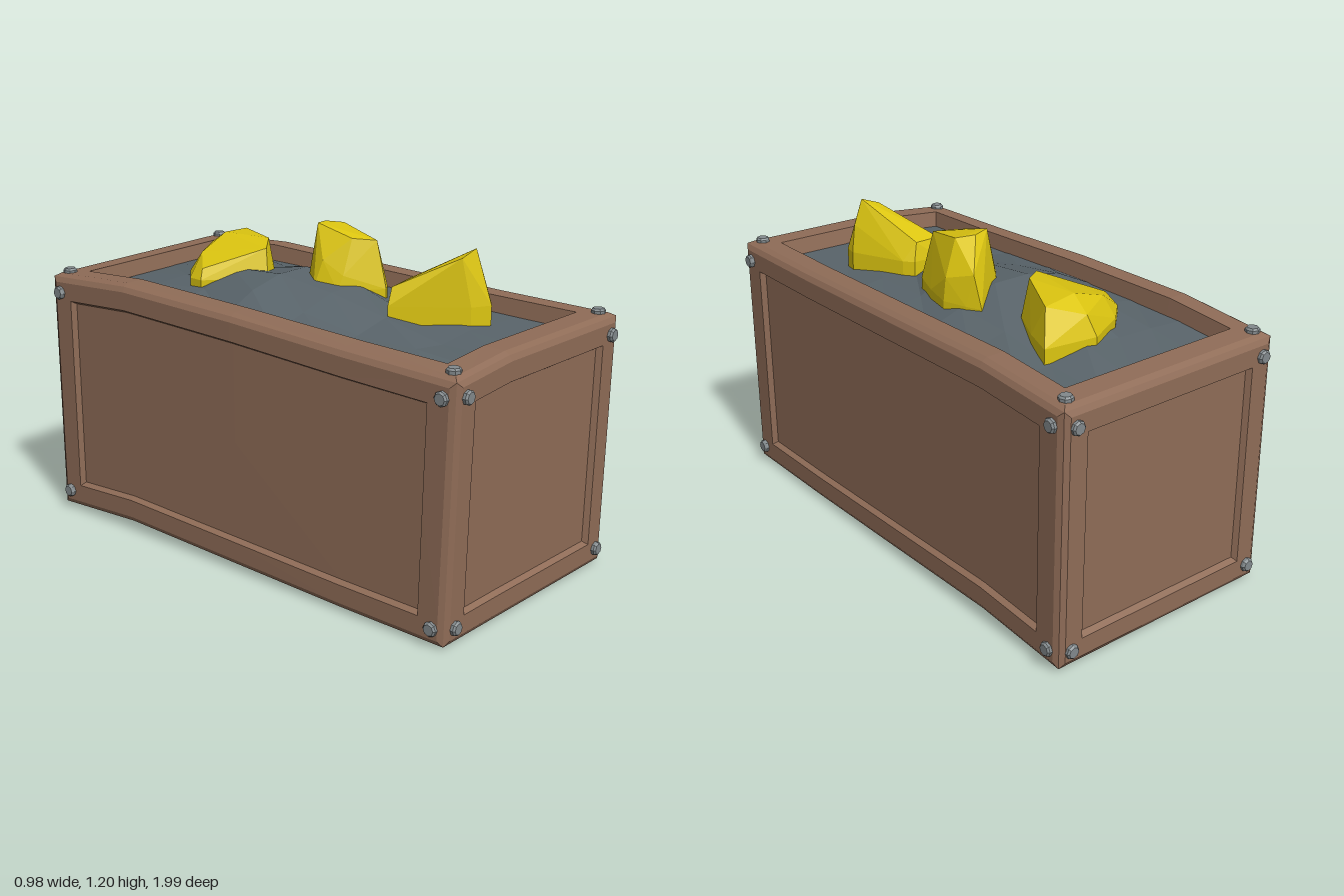
import * as THREE from 'three';
import { ConvexGeometry } from 'three/addons/geometries/ConvexGeometry.js';

const mat = (name, color) => Object.assign(new THREE.MeshStandardMaterial({ color, flatShading: true }), { name });

// crate half sizes on x, y, z and its centre height
const HALF = [0.475, 0.477, 0.963], CY = 0.48;
// inner edge of the frame on each axis and the places where the planks bend
const INNER = [0.373, 0.378, 0.85], BENDS = [[-0.18, 0.18], [0], [-0.55, 0, 0.5]];

// piecewise linear sag of the planks along z
const SAG = [[-0.97, 0.006], [-0.55, 0.03], [0, 0.016], [0.5, 0.004], [0.97, 0]];
function sag(z) {
  for (let i = 1; i < SAG.length; i++) {
    const [z0, y0] = SAG[i - 1], [z1, y1] = SAG[i];
    if (z <= z1 || i === SAG.length - 1) return y0 + (y1 - y0) * THREE.MathUtils.clamp((z - z0) / (z1 - z0), 0, 1);
  }
}

// gives the crate its crooked, hand-made shape
function warp(p) {
  const front = Math.max(p.z, 0), { x, y, z } = p;
  const drop = 0.03 * Math.max(-0.18 - x, 0) / 0.29 * (y / 0.96) * front;
  p.x += Math.max(-x, 0) * 0.035 * (y / 0.96) * front;
  p.y += sag(z) - drop;
  p.z = z * (1 + 0.03 * x) + 0.015 * (y - 0.48) * front;
  return p;
}

// one framed side: a grid whose rings step from chamfer to frame to sunken panel
function sideGeometry(axis, sign, depth) {
  const axes = [(axis + 1) % 3, (axis + 2) % 3];
  const depths = [0.011, 0, 0, depth];
  const lines = axes.map((a) => {
    const rings = [HALF[a] - 0.011, HALF[a] - 0.03, INNER[a], INNER[a] - 0.012];
    return [
      ...rings.map((r, i) => [-r, i]),
      ...BENDS[a].map((b) => [b, 3]),
      ...rings.map((r, i) => [r, i]).reverse(),
    ];
  });
  const [U, V] = lines, pos = [], index = [];
  for (const [u, ru] of U) for (const [v, rv] of V) {
    const c = [0, 0, 0];
    c[axes[0]] = u;
    c[axes[1]] = v;
    c[axis] = sign * (HALF[axis] - depths[Math.min(ru, rv)]);
    const p = warp(new THREE.Vector3(c[0], c[1] + CY, c[2]));
    pos.push(p.x, p.y, p.z);
  }
  const n = V.length;
  for (let i = 0; i < U.length - 1; i++) for (let j = 0; j < n - 1; j++) {
    const a = i * n + j, b = a + n, c = b + 1, d = a + 1;
    // mitre the corners along their own diagonal
    const same = (i < U.length / 2 - 0.5) === (j < n / 2 - 0.5);
    const tris = same ? [[a, b, c], [a, c, d]] : [[a, b, d], [b, c, d]];
    for (const t of tris) index.push(...(sign > 0 ? t : t.reverse()));
  }
  const g = new THREE.BufferGeometry();
  g.setAttribute('position', new THREE.Float32BufferAttribute(pos, 3));
  g.setIndex(index);
  g.computeVertexNormals();
  return g;
}

// low heap of gravel filling the crate
function gravelGeometry() {
  const g = new THREE.PlaneGeometry(0.75, 1.72, 5, 7).rotateX(-Math.PI / 2);
  const P = g.attributes.position;
  for (let i = 0; i < P.count; i++) {
    const x = P.getX(i), z = P.getZ(i);
    const edge = Math.abs(x) > 0.37 || Math.abs(z) > 0.85;
    const heap = 0.12 * Math.exp(-(((x + 0.02) / 0.25) ** 2) - ((z + 0.1) / 0.4) ** 2);
    const rough = 0.012 * Math.sin(x * 17 + z * 9);
    const p = warp(new THREE.Vector3(x, 0.895 + (edge ? 0 : heap + rough), z));
    P.setXYZ(i, p.x, p.y, p.z);
  }
  g.computeVertexNormals();
  return g;
}

// nuggets: ground outline [x, z] and upper corners [x, y, z]
const NUGGETS = [
  {
    name: 'frontNugget',
    base: [[-0.05, 0.36], [0, 0.325], [0.11, 0.325], [0.14, 0.36], [0.235, 0.56], [0.225, 0.61], [0.2, 0.628], [0.13, 0.59]],
    top: [[0.11, 1.15, 0.56], [0.18, 1.175, 0.57], [-0.02, 1.04, 0.355], [0.09, 1.045, 0.34], [0.215, 1.08, 0.57]],
  },
  {
    name: 'middleNugget',
    base: [[-0.03, 0], [0.02, -0.07], [0.2, -0.21], [0.225, -0.15], [0.255, -0.06], [0.225, 0.06], [0.18, 0.18], [0.14, 0.205], [0, 0.09]],
    top: [[0.055, 1.2, -0.05], [0.12, 1.195, -0.07], [0.18, 1.185, -0.03], [0.07, 1.16, 0.1], [0.14, 1.15, 0.16],
      [0.2, 1.09, -0.165], [0, 1.08, 0.02], [0.245, 1.06, -0.06], [0.02, 1.03, 0.1]],
  },
  {
    name: 'backNugget',
    base: [[-0.21, -0.4], [-0.205, -0.46], [-0.12, -0.545], [0.04, -0.63], [0.245, -0.605], [0.2, -0.48], [0.13, -0.34], [0.05, -0.26], [-0.03, -0.225]],
    top: [[0.19, 1.09, -0.54], [0.05, 1.1, -0.52], [0.08, 1.1, -0.32], [-0.01, 1.085, -0.25], [-0.19, 1.015, -0.41],
      [-0.1, 1.05, -0.5], [0.06, 1.05, -0.6], [-0.05, 1.065, -0.29]],
  },
];

export function createModel() {
  const wood = mat('wood', 0x8f6c57), iron = mat('iron', 0x82898c);
  const gravel = mat('gravel', 0x59646a), gold = mat('gold', 0xdcc510);
  const model = new THREE.Group();
  model.name = 'crate';
  const add = (name, geometry, material, parent = model) => {
    const mesh = new THREE.Mesh(geometry, material);
    mesh.name = name;
    parent.add(mesh);
    return mesh;
  };

  // wooden box
  const sides = [['rightSide', 'leftSide'], ['bottom', 'topFrame'], ['backSide', 'frontSide']];
  sides.forEach((pair, axis) => pair.forEach((name, k) =>
    add(name, sideGeometry(axis, k ? 1 : -1, name === 'topFrame' ? 0.075 : 0.02), wood)));

  // contents
  add('gravelHeap', gravelGeometry(), gravel);
  for (const { name, base, top } of NUGGETS) {
    const points = [...base.map(([x, z]) => [x, 0.88, z]), ...base.map(([x, z]) => [x, 0.975, z]), ...top];
    add(name, new ConvexGeometry(points.map((p) => new THREE.Vector3(...p))), gold);
  }

  // bolts in the corners of every side but the bottom
  const bolts = new THREE.Group();
  bolts.name = 'bolts';
  model.add(bolts);
  const profile = [[0, -0.015], [0.026, -0.015], [0.026, 0.01], [0.02, 0.017], [0, 0.017]];
  const boltGeometry = new THREE.LatheGeometry(profile.map((p) => new THREE.Vector2(...p)), 8);
  const corner = [0.42, 0.407, 0.908], up = new THREE.Vector3(0, 1, 0);
  for (let axis = 0; axis < 3; axis++) for (const s of [-1, 1]) {
    if (axis === 1 && s < 0) continue;
    for (const a of [-1, 1]) for (const b of [-1, 1]) {
      const c = [0, 0, 0], n = [0, 0, 0], u = (axis + 1) % 3, v = (axis + 2) % 3;
      n[axis] = s;
      c[axis] = s * HALF[axis];
      c[u] = a * corner[u];
      c[v] = b * corner[v];
      const bolt = add('bolt', boltGeometry, iron, bolts);
      bolt.position.copy(warp(new THREE.Vector3(c[0], c[1] + CY, c[2])));
      bolt.quaternion.setFromUnitVectors(up, new THREE.Vector3(...n));
    }
  }
  return model;
}
